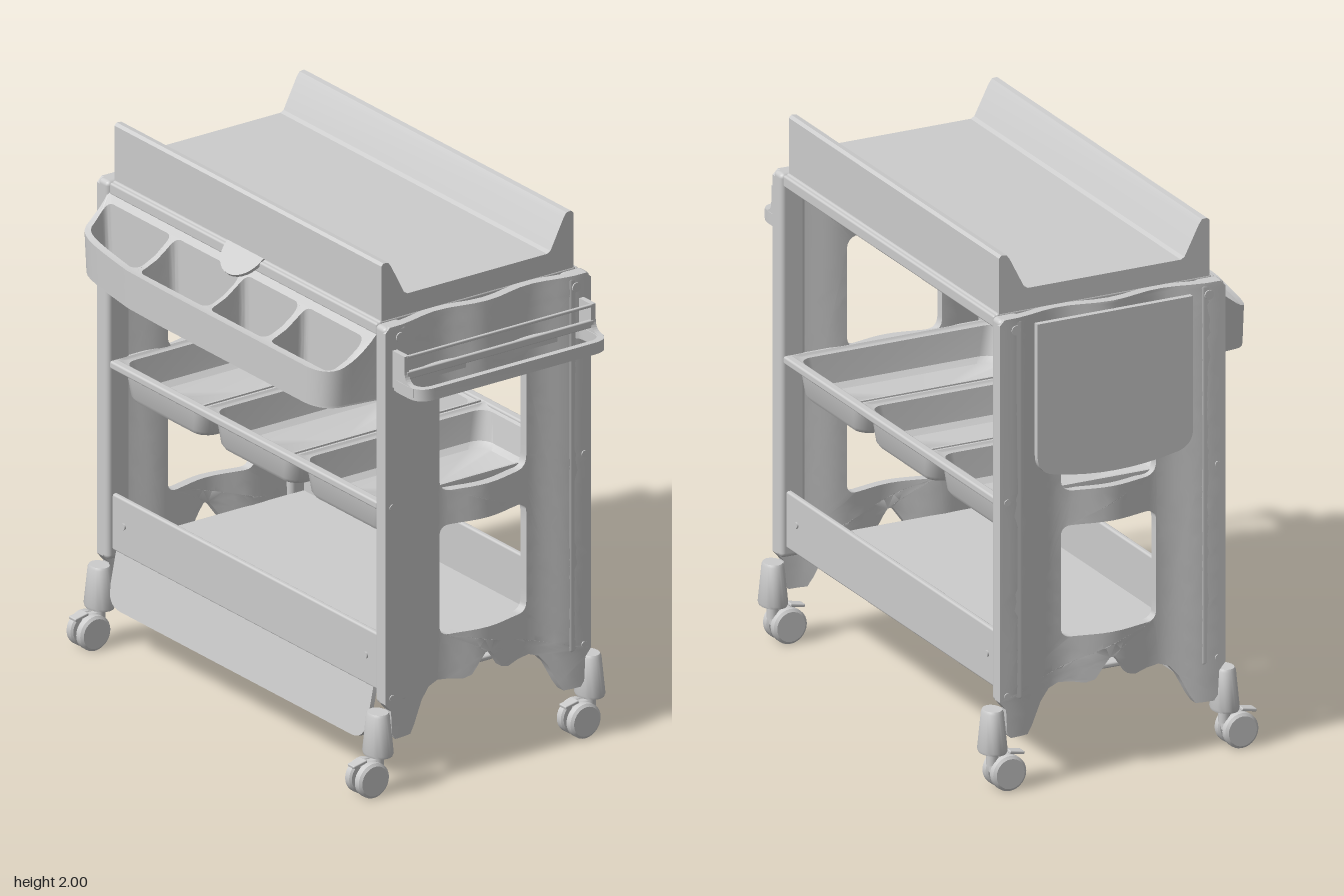
import * as THREE from 'three';
import { toCreasedNormals } from 'three/addons/utils/BufferGeometryUtils.js';
import { RoundedBoxGeometry } from 'three/addons/geometries/RoundedBoxGeometry.js';

const grey = new THREE.MeshStandardMaterial({ color: 0xcccccc, side: THREE.DoubleSide });

function add(parent, name, geometry, x = 0, y = 0, z = 0) {
  const mesh = new THREE.Mesh(geometry, grey);
  mesh.name = name;
  mesh.position.set(x, y, z);
  parent.add(mesh);
  return mesh;
}

const box = (w, h, d, r = 0.008) => new RoundedBoxGeometry(w, h, d, 2, r);

const vectors = (list) => list.map(([x, y]) => new THREE.Vector2(x, y));

// Rounded rectangle; r1 rounds the low-y corners, r2 the high-y ones
function roundRect(x0, y0, x1, y1, r1, r2 = r1) {
  const s = new THREE.Shape();
  s.moveTo(x0 + r1, y0);
  s.lineTo(x1 - r1, y0).quadraticCurveTo(x1, y0, x1, y0 + r1);
  s.lineTo(x1, y1 - r2).quadraticCurveTo(x1, y1, x1 - r2, y1);
  s.lineTo(x0 + r2, y1).quadraticCurveTo(x0, y1, x0, y1 - r2);
  s.lineTo(x0, y0 + r1).quadraticCurveTo(x0, y0, x0 + r1, y0);
  return s;
}

const extrude = (shape, depth) =>
  new THREE.ExtrudeGeometry(shape, { depth, bevelEnabled: false, curveSegments: 8 });

// Shape drawn in (z, y), extruded along x from x0 to x1
const alongX = (shape, x0, x1, crease = 0.6) =>
  toCreasedNormals(extrude(shape, x1 - x0).rotateY(-Math.PI / 2).translate(x1, 0, 0), crease);

// Shape drawn in (x, -z), extruded upward from y0 to y1
const upward = (shape, y0, y1) =>
  toCreasedNormals(extrude(shape, y1 - y0).rotateX(-Math.PI / 2).translate(0, y0, 0), 0.6);

// Halves the longest edges until all are short, then moves each vertex by a rule
function bend(geometry, maxEdge, rule) {
  const p = geometry.attributes.position, pos = [], stack = [];
  const corner = (i) => new THREE.Vector3().fromBufferAttribute(p, i);
  for (let i = 0; i < p.count; i += 3) stack.push([corner(i), corner(i + 1), corner(i + 2)]);
  while (stack.length) {
    let [a, b, c] = stack.pop();
    const ab = a.distanceTo(b), bc = b.distanceTo(c), ca = c.distanceTo(a);
    const longest = Math.max(ab, bc, ca);
    if (longest <= maxEdge) {
      for (const v of [a, b, c]) pos.push(...rule(v));
      continue;
    }
    if (longest === bc) [a, b, c] = [b, c, a];
    else if (longest === ca) [a, b, c] = [c, a, b];
    const m = a.clone().add(b).multiplyScalar(0.5);
    stack.push([a, m, c], [m, b, c]);
  }
  const g = new THREE.BufferGeometry();
  g.setAttribute('position', new THREE.Float32BufferAttribute(pos, 3));
  return toCreasedNormals(g, 0.6);
}

// Skin through rounded-rectangle rings given as [halfWidth, y, halfDepth, radius]
function loft(sections) {
  const pos = [], index = [], seg = 6, n = 4 * (seg + 1);
  for (const [w, y, d, r] of sections) {
    for (let c = 0; c < 4; c++) {
      const sx = c === 0 || c === 3 ? 1 : -1, sz = c < 2 ? 1 : -1;
      for (let k = 0; k <= seg; k++) {
        const a = (c + k / seg) * Math.PI / 2;
        pos.push(sx * (w - r) + r * Math.cos(a), y, sz * (d - r) + r * Math.sin(a));
      }
    }
  }
  for (let j = 0; j < sections.length - 1; j++) {
    for (let i = 0; i < n; i++) {
      const a = j * n + i, b = j * n + (i + 1) % n;
      index.push(a, a + n, b, b, a + n, b + n);
    }
  }
  const g = new THREE.BufferGeometry();
  g.setAttribute('position', new THREE.Float32BufferAttribute(pos, 3));
  g.setIndex(index);
  return toCreasedNormals(g, 0.7);
}

// End frame with scalloped feet and two windows, wavy in plan between the posts
function sidePanel(side) {
  const half = [[0.45, 1.76], [0.45, 0.34], [0.425, 0.31], [0.42, 0.22], [0.405, 0.2], [0.335, 0.2],
    [0.315, 0.23], [0.275, 0.31], [0.24, 0.35], [0.2, 0.365], [0.15, 0.36], [0.1, 0.35],
    [0.065, 0.36], [0.03, 0.41], [0.01, 0.435]];
  const mirrored = half.map(([z, y]) => [-z, y]).reverse();
  const s = new THREE.Shape(vectors([[0.43, 1.78], ...half, ...mirrored, [-0.43, 1.78]]));
  s.holes.push(roundRect(-0.19, 1.08, 0.19, 1.5, 0.05), roundRect(-0.19, 0.53, 0.19, 0.95, 0.04));
  return bend(alongX(s, 0, 0.036), 0.06, (v) => {
    const outer = 0.847 + 0.016 * Math.cos(Math.PI * Math.min(Math.abs(v.z), 0.4) / 0.2);
    return [side > 0 ? outer - 0.036 + v.x : v.x - outer, v.y, v.z];
  });
}

function makeCaster() {
  const g = new THREE.Group();
  g.name = 'caster';
  const socket = vectors([[0, 0.15], [0.06, 0.15], [0.064, 0.16], [0.048, 0.3], [0.042, 0.31], [0, 0.31]]);
  const socketGeo = toCreasedNormals(new THREE.LatheGeometry(socket, 24), 0.6);
  add(g, 'casterSocket', socketGeo.scale(1, 1, 0.8));
  add(g, 'casterStem', new THREE.CylinderGeometry(0.022, 0.022, 0.06, 12), 0, 0.13, 0);
  add(g, 'casterFork', box(0.03, 0.07, 0.08), 0, 0.1, 0.03);
  const wheel = vectors([[0, -0.02], [0.056, -0.02], [0.066, -0.012], [0.066, 0.012], [0.058, 0.018], [0, 0.018]]);
  for (const s of [-1, 1]) {
    const mesh = add(g, 'wheel', toCreasedNormals(new THREE.LatheGeometry(wheel, 28), 0.6), s * 0.029, 0.071, 0.048);
    mesh.rotation.z = s * Math.PI / 2;
  }
  add(g, 'brakeTab', box(0.04, 0.012, 0.06, 0.004), 0, 0.135, 0.09).rotation.x = 0.2;
  return g;
}

// Organiser with four compartments and a rim sweeping up to the back
function makeFrontTray(parent) {
  const outline = new THREE.Shape();
  outline.moveTo(-0.81, -0.43);
  outline.lineTo(-0.797, -0.53);
  outline.bezierCurveTo(-0.79, -0.595, -0.7, -0.605, -0.42, -0.645);
  outline.lineTo(-0.2, -0.65).lineTo(0.66, -0.65);
  outline.quadraticCurveTo(0.765, -0.645, 0.78, -0.57).lineTo(0.8, -0.43);
  const base = outline.clone();
  const first = new THREE.Shape();
  first.moveTo(-0.75, -0.46);
  first.quadraticCurveTo(-0.785, -0.46, -0.78, -0.49);
  first.lineTo(-0.77, -0.53);
  first.bezierCurveTo(-0.765, -0.575, -0.7, -0.58, -0.44, -0.617);
  first.quadraticCurveTo(-0.405, -0.617, -0.405, -0.58).lineTo(-0.405, -0.48);
  first.quadraticCurveTo(-0.405, -0.46, -0.43, -0.46);
  outline.holes.push(first);
  for (const [a, b] of [[-0.38, 0.02], [0.04, 0.37], [0.4, 0.755]]) {
    outline.holes.push(roundRect(a, -0.622, b, -0.46, 0.035));
  }
  add(parent, 'frontTrayWalls', bend(upward(outline, 0, 0.1), 0.06, (v) => {
    const back = Math.min(1, Math.max(0, (0.65 - v.z) / 0.22));
    const height = 0.135 + 0.13 * back ** 2.2;
    const taper = 0.985 + 0.15 * v.y;
    return [v.x * taper, 1.485 + v.y * 10 * height, v.z];
  }));
  add(parent, 'frontTrayFloor', upward(base, 1.478, 1.495).scale(0.983, 1, 1));
}

export function createModel() {
  const model = new THREE.Group();
  model.name = 'changingTrolley';
  const body = new THREE.Group();
  body.name = 'trolleyBody';
  body.position.set(-0.066, 0, -0.07);
  model.add(body);

  // Padded top with raised front and back edges and a flat floor
  const half = [[0.42, 1.78], [0.42, 1.99], [0.41, 2], [0.39, 1.998], [0.377, 1.98], [0.32, 1.868], [0.305, 1.86]];
  const mat = new THREE.Shape(vectors([...half, ...half.map(([z, y]) => [-z, y]).reverse()]));
  add(body, 'changingTop', alongX(mat, -0.8, 0.798, 0.3));
  add(body, 'topFrame', box(1.6, 0.035, 0.86), 0, 1.765, 0);
  for (const s of [-1, 1]) add(body, 'topRail', box(1.6, 0.045, 0.025), 0, 1.755, s * 0.43);

  // End frames, posts, bolts and casters
  for (const sx of [-1, 1]) {
    add(body, 'sidePanel', sidePanel(sx));
    for (const sz of [-1, 1]) {
      add(body, 'cornerPost', box(0.064, 1.45, 0.1, 0.018), sx * 0.83, 1.055, sz * 0.4);
      for (const [y, r, z] of [[0.36, 0.012, 0.42], [1.09, 0.012, 0.42], [1.735, 0.018, 0.385]]) {
        add(body, 'bolt', new THREE.CylinderGeometry(r, r, 0.012, 16), sx * 0.861, y, sz * z)
          .rotation.z = Math.PI / 2;
      }
      const caster = makeCaster();
      caster.position.set(sx * 0.834 + 0.003, 0, sz * 0.463);
      body.add(caster);
    }
  }

  // Towel rack on the left end
  const loop = roundRect(0.83, -0.42, 1.024, 0.42, 0.07);
  loop.holes.push(roundRect(0.85, -0.395, 1.0, 0.395, 0.05));
  add(body, 'rackLoop', upward(loop, 1.54, 1.585));
  const bracket = new THREE.Shape();
  bracket.moveTo(0.85, 1.55);
  bracket.lineTo(0.985, 1.55).lineTo(0.985, 1.585);
  bracket.quadraticCurveTo(0.935, 1.585, 0.935, 1.63);
  bracket.lineTo(0.935, 1.69).lineTo(0.85, 1.69);
  for (const z of [-0.418, 0.398]) add(body, 'rackBracket', extrude(bracket, 0.02), 0, 0, z);
  add(body, 'towelBar', box(0.015, 0.03, 0.82, 0.005), 0.93, 1.615, 0);
  add(body, 'upperBar', box(0.012, 0.012, 0.82, 0.004), 0.93, 1.684, 0);

  // Hanging flap on the right end
  const flap = new THREE.Shape();
  flap.moveTo(-0.31, 1.75);
  flap.lineTo(-0.31, 1.25).quadraticCurveTo(-0.31, 1.19, -0.25, 1.175);
  flap.quadraticCurveTo(0, 1.12, 0.25, 1.175).quadraticCurveTo(0.31, 1.19, 0.31, 1.25);
  flap.lineTo(0.31, 1.75);
  add(body, 'sideFlap', alongX(flap, -0.884, -0.862));

  // Front organiser and half-round latch tab
  makeFrontTray(body);
  const tab = new THREE.Shape();
  tab.absarc(0, 0, 0.108, Math.PI, Math.PI * 2);
  add(body, 'latchTab', toCreasedNormals(extrude(tab, 0.012), 0.6), -0.004, 1.78, 0.42).rotation.x = -0.82;

  // Middle shelf: rails and three shallow bins
  for (const s of [-1, 1]) add(body, 'binRail', box(1.6, 0.03, 0.035), 0, 1.08, s * 0.425);
  for (const x of [-0.543, -0.003, 0.538]) {
    add(body, 'bin', loft([
      [0, 0.942, 0, 0], [0.205, 0.942, 0.36, 0.06], [0.226, 0.948, 0.382, 0.06], [0.236, 0.965, 0.392, 0.06],
      [0.247, 1.07, 0.402, 0.05], [0.264, 1.073, 0.425, 0.02], [0.264, 1.093, 0.425, 0.02],
      [0.255, 1.093, 0.415, 0.02], [0.25, 1.085, 0.41, 0.03], [0.238, 1.08, 0.394, 0.05],
      [0.226, 0.972, 0.38, 0.06], [0.205, 0.954, 0.36, 0.06], [0, 0.954, 0, 0]]), x);
  }

  // Bottom shelf with front and back boards
  add(body, 'bottomShelf', box(1.61, 0.02, 0.85), 0, 0.38, 0);
  for (const s of [-1, 1]) {
    add(body, 'shelfBoard', box(1.61, 0.215, 0.022), 0, 0.475, s * 0.418);
    for (const x of [-0.73, 0.72]) {
      add(body, 'boardBolt', new THREE.CylinderGeometry(0.012, 0.012, 0.01, 12), x, 0.48, s * 0.43)
        .rotation.x = Math.PI / 2;
    }
  }

  // Front skirt hanging below the shelf, tilted outward at the bottom
  const skirt = roundRect(-0.78, -0.21, 0.76, 0, 0.08, 0.005);
  add(body, 'frontSkirt', toCreasedNormals(extrude(skirt, 0.018), 0.6), 0, 0.375, 0.408).rotation.x = -0.2;

  return model;
}
